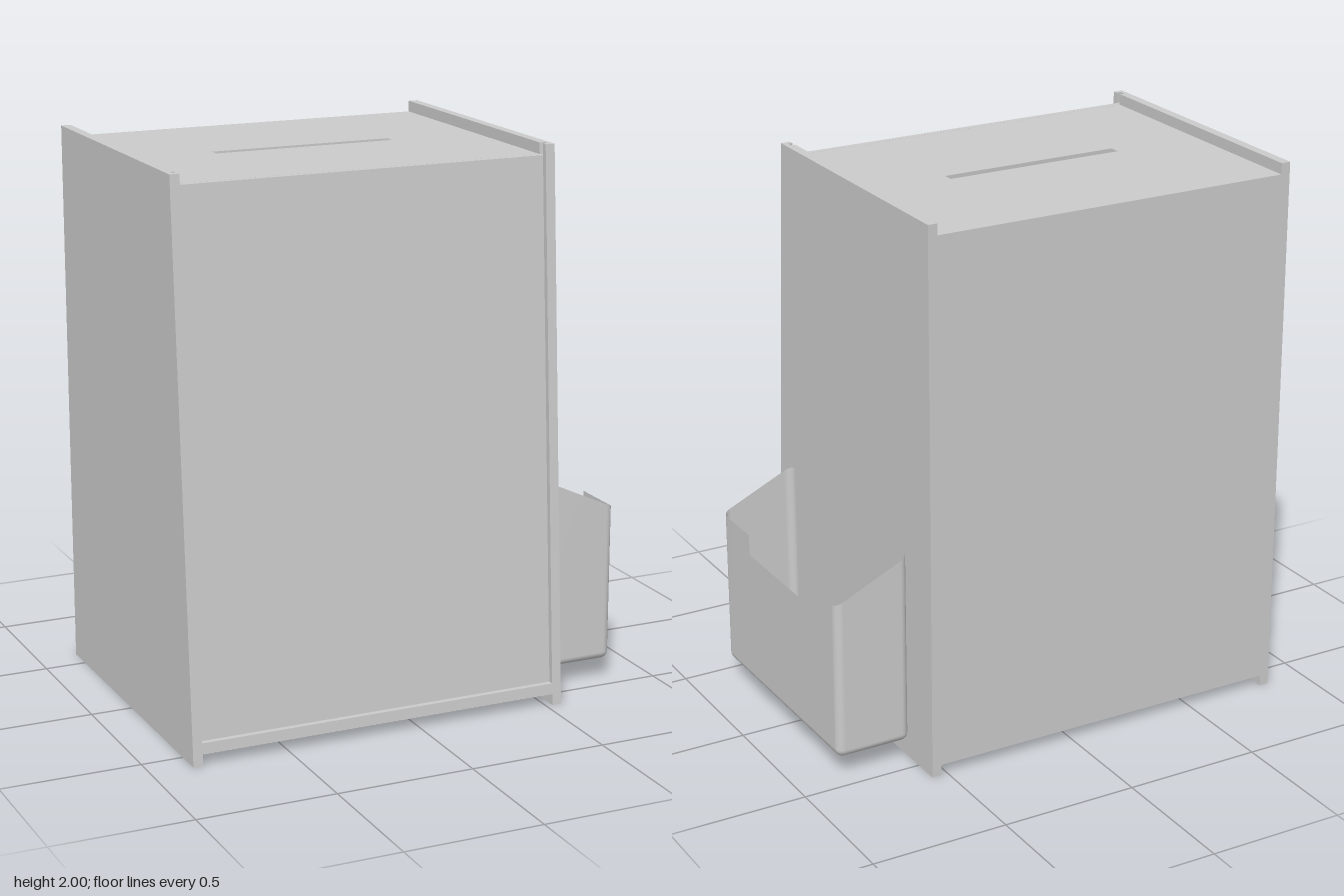
import * as THREE from 'three';

const grey = new THREE.MeshStandardMaterial({ color: 0xcccccc });
const greyThin = new THREE.MeshStandardMaterial({ color: 0xcccccc, side: THREE.DoubleSide });

// Outer and inner faces of the box side panels
const L = -0.85, LI = -0.815, RI = 0.525, R = 0.56;
const frontZ = (y) => 0.6 - 0.065 * y; // sloping front edge

// Slab with a [z, y] profile, running from x0 to x1
function slab(name, profile, x0, x1) {
  const shape = new THREE.Shape(profile.map(([z, y]) => new THREE.Vector2(z, y)));
  const geo = new THREE.ExtrudeGeometry(shape, { depth: x1 - x0, bevelEnabled: false });
  geo.rotateY(-Math.PI / 2).translate(x1, 0, 0);
  const mesh = new THREE.Mesh(geo, grey);
  mesh.name = name;
  return mesh;
}

// Strip parallel to the sloping front, between two setbacks
const slopedStrip = (back, front, y0, y1) => [
  [frontZ(y0) - back, y0], [frontZ(y0) - front, y0],
  [frontZ(y1) - front, y1], [frontZ(y1) - back, y1],
];

// Side panel: a full outer layer and an inner layer split by the groove for the front panel
function sidePanel(name, outer, inner) {
  const group = new THREE.Group();
  group.name = name;
  const mid = (outer + inner) / 2;
  const span = (a, b) => [Math.min(a, b), Math.max(a, b)];
  const rear = (setback, y0) => [[-0.6, y0], [frontZ(y0) - setback, y0], [frontZ(2) - setback, 2], [-0.6, 2]];
  group.add(
    slab(name + 'Outer', rear(0, 0), ...span(outer, mid)),
    slab(name + 'Inner', rear(0.043, 0.08), ...span(mid, inner)),
    slab(name + 'Lip', slopedStrip(0.02, 0, 0.08, 2), ...span(mid, inner)),
    slab(name + 'Foot', [[-0.6, 0], [0.6, 0], [frontZ(0.08), 0.08], [-0.6, 0.08]], ...span(mid, inner)),
  );
  return group;
}

// Lid with the long posting slot
function slottedTop() {
  const rect = (path, x0, z0, x1, z1) =>
    path.moveTo(x0, -z0).lineTo(x1, -z0).lineTo(x1, -z1).lineTo(x0, -z1).closePath();
  const shape = rect(new THREE.Shape(), LI, -0.6, RI, frontZ(1.96) - 0.044);
  shape.holes.push(rect(new THREE.Path(), -0.48, -0.085, 0.19, -0.045));
  const geo = new THREE.ExtrudeGeometry(shape, { depth: 0.035, bevelEnabled: false });
  geo.rotateX(-Math.PI / 2).translate(0, 1.925, 0);
  const mesh = new THREE.Mesh(geo, grey);
  mesh.name = 'slottedTop';
  return mesh;
}

// Thin-walled leaflet pocket: rounded rectangular rings stacked from floor to sloping rim
function pocket() {
  const x0 = 0.565, x1 = 0.845, hz = 0.45, y0 = 0.075, r = 0.03, notch = 0.23, notchY = 0.578, steps = 6;
  const rim = (x) => 0.785 - 0.13 * (x - x0) / (x1 - x0);

  // Outline points: corner centre plus outward direction, or a plain point on the outer wall
  const outline = [];
  const corner = (cx, cz, start) => {
    for (let i = 0; i <= steps; i++) {
      const a = start + (i / steps) * Math.PI / 2;
      outline.push({ cx, cz, dx: Math.cos(a), dz: Math.sin(a) });
    }
  };
  corner(x1 - r, hz - r, 0);
  corner(x0 + r, hz - r, Math.PI / 2);
  corner(x0 + r, -hz + r, Math.PI);
  corner(x1 - r, -hz + r, Math.PI * 1.5);
  const notchStart = outline.length;
  for (const z of [-notch, notch]) outline.push({ cx: x1 - r, cz: z, dx: 1, dz: 0 });

  // Rings: bottom fillet, notch level, rim
  const n = outline.length, pos = [], idx = [];
  const ring = (radius, yAt) => outline.forEach((p) => {
    const x = p.cx + p.dx * radius;
    pos.push(x, yAt(x), p.cz + p.dz * radius);
  });
  for (let i = 0; i <= steps; i++) {
    const a = (i / steps) * Math.PI / 2;
    ring(r * Math.sin(a), () => y0 + r * (1 - Math.cos(a)));
  }
  ring(r, () => notchY);
  ring(r, rim);
  const rows = steps + 3;
  for (let row = 0; row < rows - 1; row++) {
    for (let i = 0; i < n; i++) {
      if (row === rows - 2 && i === notchStart) continue; // cut-out in the outer wall
      const a = row * n + i, b = row * n + (i + 1) % n;
      idx.push(a, a + n, b, b, a + n, b + n);
    }
  }
  // Floor
  const centre = pos.length / 3;
  pos.push((x0 + x1) / 2, y0, 0);
  for (let i = 0; i < n; i++) idx.push(centre, i, (i + 1) % n);

  const geo = new THREE.BufferGeometry();
  geo.setAttribute('position', new THREE.Float32BufferAttribute(pos, 3));
  geo.setIndex(idx);
  geo.computeVertexNormals();
  const mesh = new THREE.Mesh(geo, greyThin);
  mesh.name = 'leafletPocket';
  return mesh;
}

export function createModel() {
  const model = new THREE.Group();
  model.name = 'ballotBox';
  model.add(
    sidePanel('rightSide', L, LI),
    sidePanel('leftSide', R, RI),
    slab('frontPanel', slopedStrip(0.043, 0.02, 0.08, 1.96), (L + LI) / 2, (R + RI) / 2),
    slab('backPanel', [[-0.6, 0.08], [-0.565, 0.08], [-0.565, 1.925], [-0.6, 1.925]], LI, RI),
    slab('floorPanel', [[-0.6, 0.04], [frontZ(0.04), 0.04], [frontZ(0.08), 0.08], [-0.6, 0.08]], LI, RI),
    slottedTop(),
    pocket(),
  );
  return model;
}
